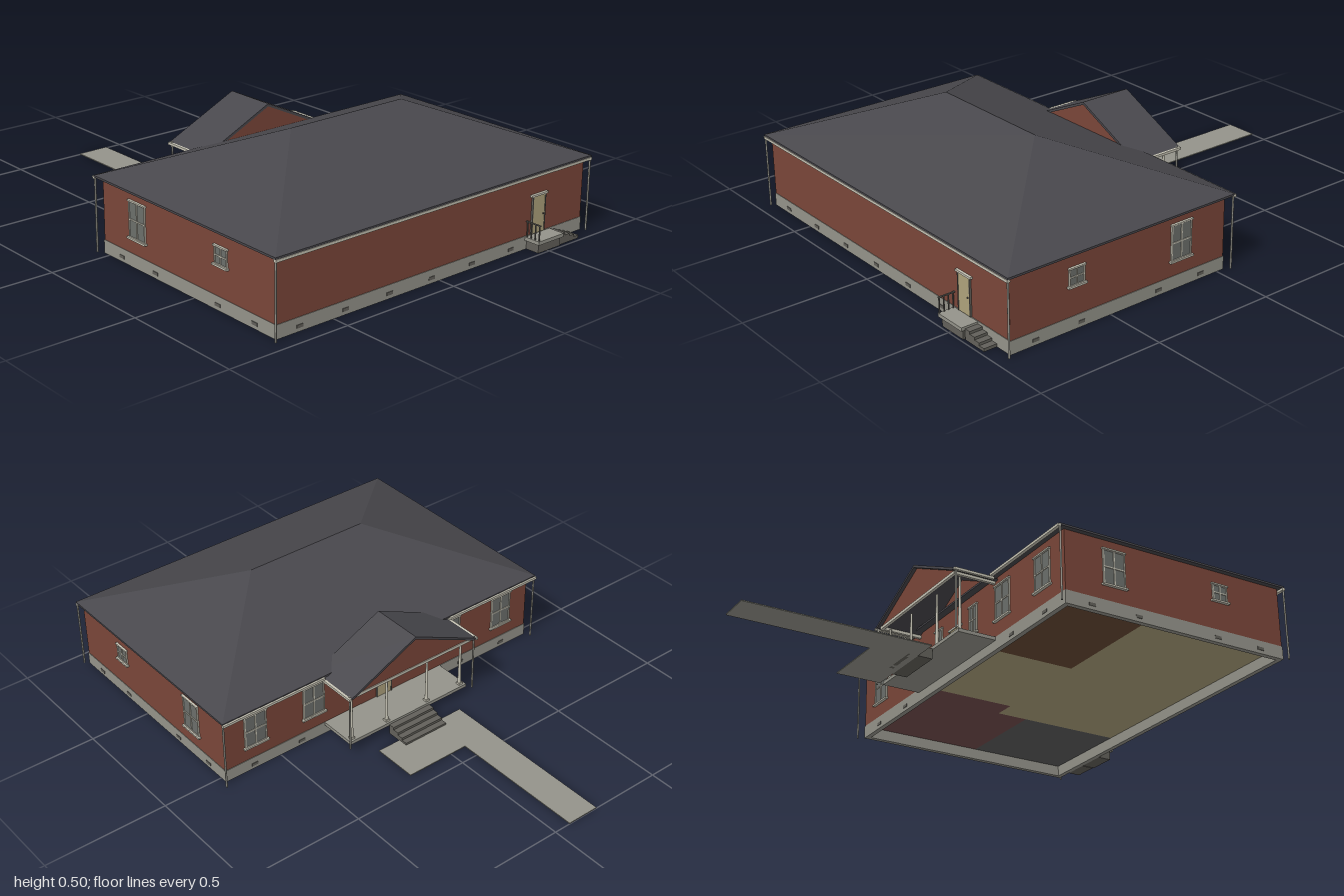
import * as THREE from 'three';

const mat = (name, color, side = THREE.FrontSide) => {
  const m = new THREE.MeshStandardMaterial({ color, side });
  m.name = name;
  return m;
};

export function createModel() {
  const model = new THREE.Group();
  model.name = 'house';
  const roof = mat('roofShingle', 0x48474c, THREE.DoubleSide);
  const brick = mat('brick', 0x7a4639, THREE.DoubleSide);
  const concrete = mat('concrete', 0x94938a);
  const stone = mat('stepStone', 0x62605a);
  const trim = mat('trim', 0xc6c3b4);
  const glass = mat('glass', 0x6c6f6b);
  const tan = mat('tan', 0xaea27c, THREE.DoubleSide);
  const charcoal = mat('charcoalFloor', 0x5c5c5c, THREE.DoubleSide);
  const maroon = mat('maroonFloor', 0x744e4e, THREE.DoubleSide);
  const brown = mat('brownFloor', 0x684a34, THREE.DoubleSide);

  const add = (name, geometry, material, parent = model) => {
    const mesh = new THREE.Mesh(geometry, material);
    mesh.name = name;
    parent.add(mesh);
    return mesh;
  };
  // Box given by its limits on each axis
  const box = (name, m, x0, x1, y0, y1, z0, z1, parent) => {
    const g = new THREE.BoxGeometry(x1 - x0, y1 - y0, z1 - z0);
    g.translate((x0 + x1) / 2, (y0 + y1) / 2, (z0 + z1) / 2);
    return add(name, g, m, parent);
  };
  // Flat-faced geometry from convex polygons
  const faces = (polys) => {
    const p = [];
    for (const f of polys)
      for (let i = 1; i < f.length - 1; i++) p.push(...f[0], ...f[i], ...f[i + 1]);
    const g = new THREE.BufferGeometry();
    g.setAttribute('position', new THREE.Float32BufferAttribute(p, 3));
    g.computeVertexNormals();
    return g;
  };

  // Walls and hollow foundation
  box('brickWalls', brick, -0.75, 0.75, 0.052, 0.29, -0.03, 0.93);
  box('foundationFront', concrete, -0.752, 0.752, 0, 0.052, 0.912, 0.932);
  box('foundationBack', concrete, -0.752, 0.752, 0, 0.052, -0.032, -0.012);
  for (const s of [-1, 1]) {
    box('foundationSide', concrete, s * 0.742 - 0.01, s * 0.742 + 0.01, 0, 0.052, -0.012, 0.912);
  }

  // Room floors, seen from underneath
  const floor = (name, m, x0, x1, z0, z1) => box(name, m, x0, x1, 0.044, 0.051, z0, z1);
  floor('backRightFloor', maroon, 0.24, 0.74, -0.02, 0.36);
  floor('backRightFloorNook', maroon, 0.33, 0.74, 0.36, 0.49);
  floor('frontRightFloor', charcoal, 0.33, 0.74, 0.49, 0.92);
  floor('backLeftFloor', brown, -0.74, -0.2, -0.02, 0.36);
  floor('hallFloor', tan, -0.2, 0.24, -0.02, 0.36);
  floor('mainFloor', tan, -0.74, 0.33, 0.36, 0.92);

  // Hip roof with a thin eave
  const A = [-0.77, 0.296, 0.95], B = [0.77, 0.296, 0.95];
  const C = [0.77, 0.296, -0.06], D = [-0.77, 0.296, -0.06];
  const R1 = [-0.27, 0.496, 0.445], R2 = [0.27, 0.496, 0.445];
  add('hipRoof', faces([[A, B, R2, R1], [B, C, R2], [C, D, R1, R2], [D, A, R1], [D, C, B, A]]), roof);
  box('eave', roof, -0.77, 0.77, 0.289, 0.297, -0.06, 0.95);
  box('frontGutter', trim, -0.77, 0.77, 0.28, 0.29, 0.94, 0.953);
  for (const s of [-1, 1]) {
    box('backGutter', trim, s * 0.54 - 0.23, s * 0.54 + 0.23, 0.283, 0.293, -0.068, -0.055);
  }

  // Downspouts at the house corners and porch corners
  const spout = (x, z, y0) => {
    const g = new THREE.CylinderGeometry(0.004, 0.004, 0.285 - y0, 6);
    g.translate(x, (0.285 + y0) / 2, z);
    add('downspout', g, concrete);
  };
  for (const s of [-1, 1]) {
    spout(s * 0.766, 0.947, 0);
    spout(s * 0.766, -0.056, 0);
    spout(s * 0.305, -0.208, 0.04);
  }

  // Porch gable roof: two sloped slabs and brick gable ends
  const gable = new THREE.Shape([
    [-0.31, 0.28], [0, 0.425], [0.31, 0.28], [0.295, 0.276], [0, 0.414], [-0.295, 0.276],
  ].map(([x, y]) => new THREE.Vector2(x, y)));
  const gableGeo = new THREE.ExtrudeGeometry(gable, { depth: 0.22, bevelEnabled: false });
  gableGeo.translate(0, 0, -0.22);
  add('porchRoof', gableGeo, roof);
  for (const z of [-0.205, -0.004]) {
    add('porchGable', faces([[[-0.29, 0.279, z], [0.29, 0.279, z], [0, 0.415, z]]]), brick);
  }
  box('porchBeam', trim, -0.29, 0.29, 0.268, 0.28, -0.208, -0.196);
  for (const s of [-1, 1]) {
    box('porchSideBeam', trim, s * 0.284 - 0.006, s * 0.284 + 0.006, 0.268, 0.28, -0.2, -0.03);
    box('porchGutter', trim, s * 0.311 - 0.005, s * 0.311 + 0.005, 0.272, 0.282, -0.22, -0.05);
  }

  // Porch deck and tapered columns
  box('porchDeck', concrete, -0.29, 0.29, 0.038, 0.052, -0.19, -0.03);
  for (const x of [-0.27, -0.1, 0.1, 0.27]) {
    const g = new THREE.CylinderGeometry(0.004, 0.007, 0.22, 10);
    g.translate(x, 0.16, -0.172);
    add('porchColumn', g, trim);
    box('columnBase', trim, x - 0.009, x + 0.009, 0.052, 0.06, -0.181, -0.163);
  }

  // Porch steps and walkway
  for (let i = 0; i < 4; i++) {
    box('porchStep', stone, -0.1, 0.1, 0, 0.042 - i * 0.01, -0.215 - i * 0.025, -0.19 - i * 0.025);
  }
  box('walkway', concrete, -0.205, -0.07, 0, 0.004, -1, -0.25);
  box('walkwayLanding', concrete, -0.07, 0.2, 0, 0.004, -0.435, -0.25);

  // Front door landing, steps and railing
  box('landing', concrete, 0.44, 0.575, 0.036, 0.05, 0.932, 1);
  box('landingBase', stone, 0.45, 0.57, 0, 0.036, 0.932, 0.99);
  for (let i = 0; i < 4; i++) {
    box('sideStep', stone, 0.575 + i * 0.026, 0.601 + i * 0.026, 0, 0.042 - i * 0.01, 0.932, 0.985);
  }
  for (let i = 0; i < 4; i++) {
    box('railPost', stone, 0.443, 0.447, 0.05, 0.11, 0.937 + i * 0.019, 0.941 + i * 0.019);
  }
  box('handRail', stone, 0.442, 0.448, 0.108, 0.112, 0.932, 1);

  // Wall fittings are built facing +z, then placed on a wall
  const place = (name, x, z, turn) => {
    const g = new THREE.Group();
    g.name = name;
    g.position.set(x, 0, z);
    g.rotation.y = turn;
    model.add(g);
    return g;
  };
  const makeWindow = (x, z, turn, w, y0, y1) => {
    const g = place('window', x, z, turn), h = w / 2, mid = (y0 + y1) / 2;
    box('pane', glass, -h, h, y0, y1, -0.002, 0.003, g);
    for (const bx of [-h, 0, h]) box('mullion', trim, bx - 0.0025, bx + 0.0025, y0, y1, 0, 0.006, g);
    for (const by of [y0, mid, y1]) box('sash', trim, -h, h, by - 0.0025, by + 0.0025, 0, 0.006, g);
    box('sill', trim, -h - 0.009, h + 0.009, y0 - 0.007, y0, 0, 0.012, g);
    box('lintel', trim, -h - 0.006, h + 0.006, y1, y1 + 0.006, 0, 0.009, g);
  };
  const makeDoor = (x, z, turn, w) => {
    const g = place('door', x, z, turn), h = w / 2;
    box('doorPanel', tan, -h, h, 0.053, 0.198, -0.002, 0.006, g);
    for (const s of [-1, 1]) box('doorJamb', stone, s * h - 0.002, s * h + 0.002, 0.053, 0.198, 0, 0.008, g);
    box('doorLintel', trim, -h - 0.01, h + 0.01, 0.198, 0.206, 0, 0.01, g);
    box('doorKnob', stone, h - 0.012, h - 0.008, 0.12, 0.124, 0.005, 0.01, g);
  };
  const vent = (x, z, turn) => {
    box('vent', stone, -0.014, 0.014, 0.014, 0.026, -0.002, 0.002, place('foundationVent', x, z, turn));
  };

  makeDoor(0.505, 0.93, 0, 0.066);
  makeDoor(0, -0.03, Math.PI, 0.07);
  for (const s of [-1, 1]) {
    const side = s * Math.PI / 2;
    makeWindow(s * 0.75, 0.178, side, 0.09, 0.115, 0.25);
    makeWindow(s * 0.75, 0.65, side, 0.062, 0.17, 0.232);
    for (const x of [0.61, 0.34]) makeWindow(s * x, -0.03, Math.PI, 0.095, 0.115, 0.25);
    makeWindow(s * 0.13, -0.03, Math.PI, 0.05, 0.13, 0.24);
    for (const z of [0.08, 0.28, 0.63, 0.825]) vent(s * 0.752, z, side);
    for (const x of [0.4, 0.62]) vent(s * x, -0.032, Math.PI);
  }
  for (let i = 0; i < 7; i++) vent(-0.65 + i * 0.203, 0.932, 0);

  return model;
}
